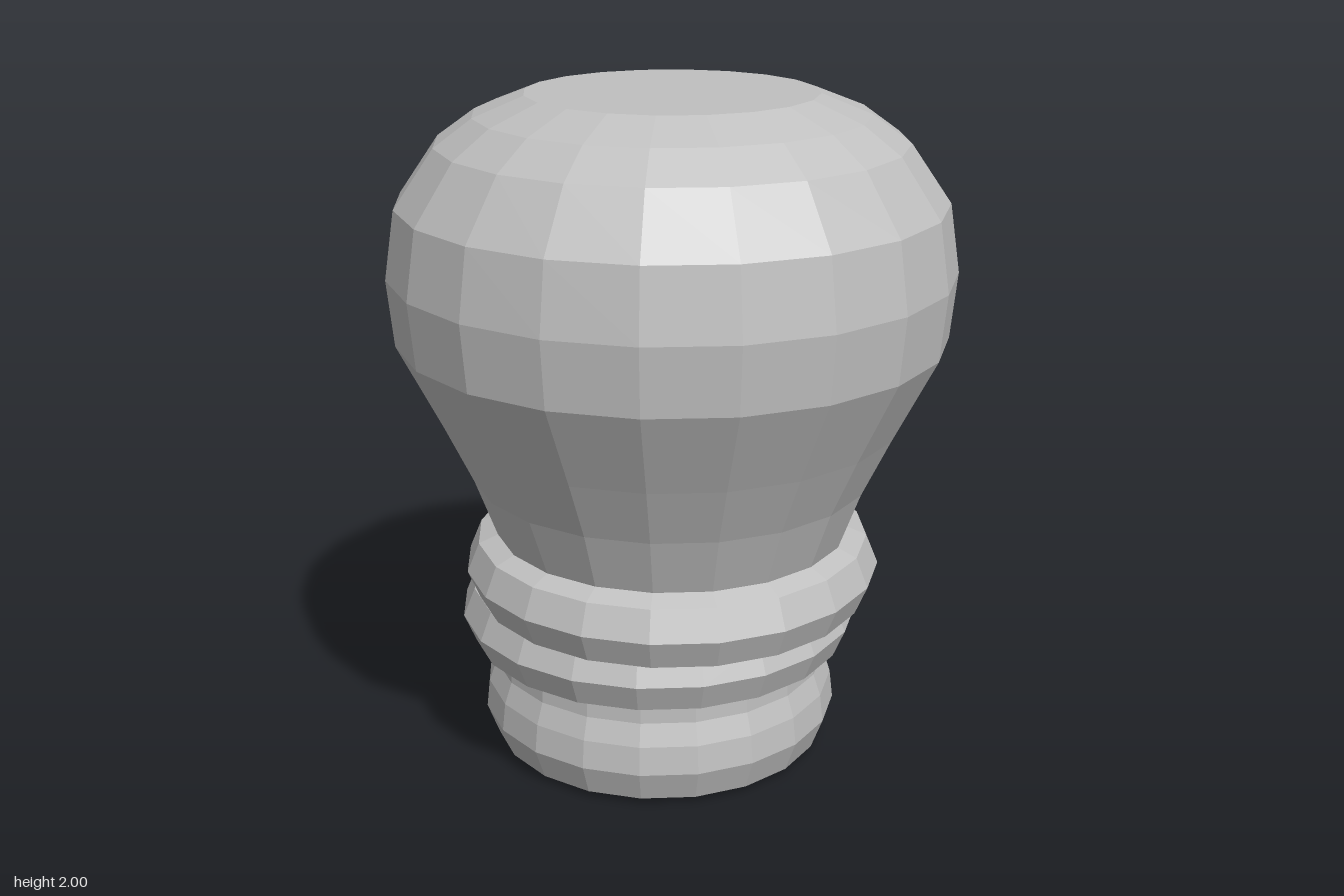
import * as THREE from 'three';

const SIDES = 20;

export function createModel() {
  const model = new THREE.Group();
  model.name = 'knob';
  const grey = new THREE.MeshStandardMaterial({ color: 0xc0c0c0, flatShading: true });
  grey.name = 'light grey';

  // Faceted solid of revolution from [radius, height] pairs, bottom to top
  const turned = (name, profile, z) => {
    const points = profile.map(([r, y]) => new THREE.Vector2(r, y));
    const mesh = new THREE.Mesh(new THREE.LatheGeometry(points, SIDES), grey);
    mesh.name = name;
    mesh.position.z = z;
    model.add(mesh);
  };

  // Octagonal-section ring lying flat
  const ring = (name, y, z) => {
    const geometry = new THREE.TorusGeometry(0.48, 0.12, 8, SIDES).rotateX(-Math.PI / 2);
    const mesh = new THREE.Mesh(geometry, grey);
    mesh.name = name;
    mesh.position.set(0, y, z);
    model.add(mesh);
  };

  // The base and lower ring sit set back from the head
  const setBack = -0.185;

  turned('base', [
    [0, 0], [0.41, 0], [0.505, 0.02], [0.54, 0.115], [0.53, 0.2],
    [0.507, 0.265], [0.505, 0.33], [0.48, 0.38], [0, 0.38],
  ], setBack);
  ring('lowerRing', 0.425, setBack);
  ring('upperRing', 0.65, 0);

  // Bulbous head with a flat top
  turned('head', [
    [0, 0.66], [0.47, 0.66], [0.51, 0.76], [0.57, 0.925], [0.65, 1.095], [0.77, 1.335],
    [0.787, 1.52], [0.757, 1.71], [0.645, 1.87], [0.54, 1.945], [0.4, 2], [0, 2],
  ], 0);

  return model;
}
